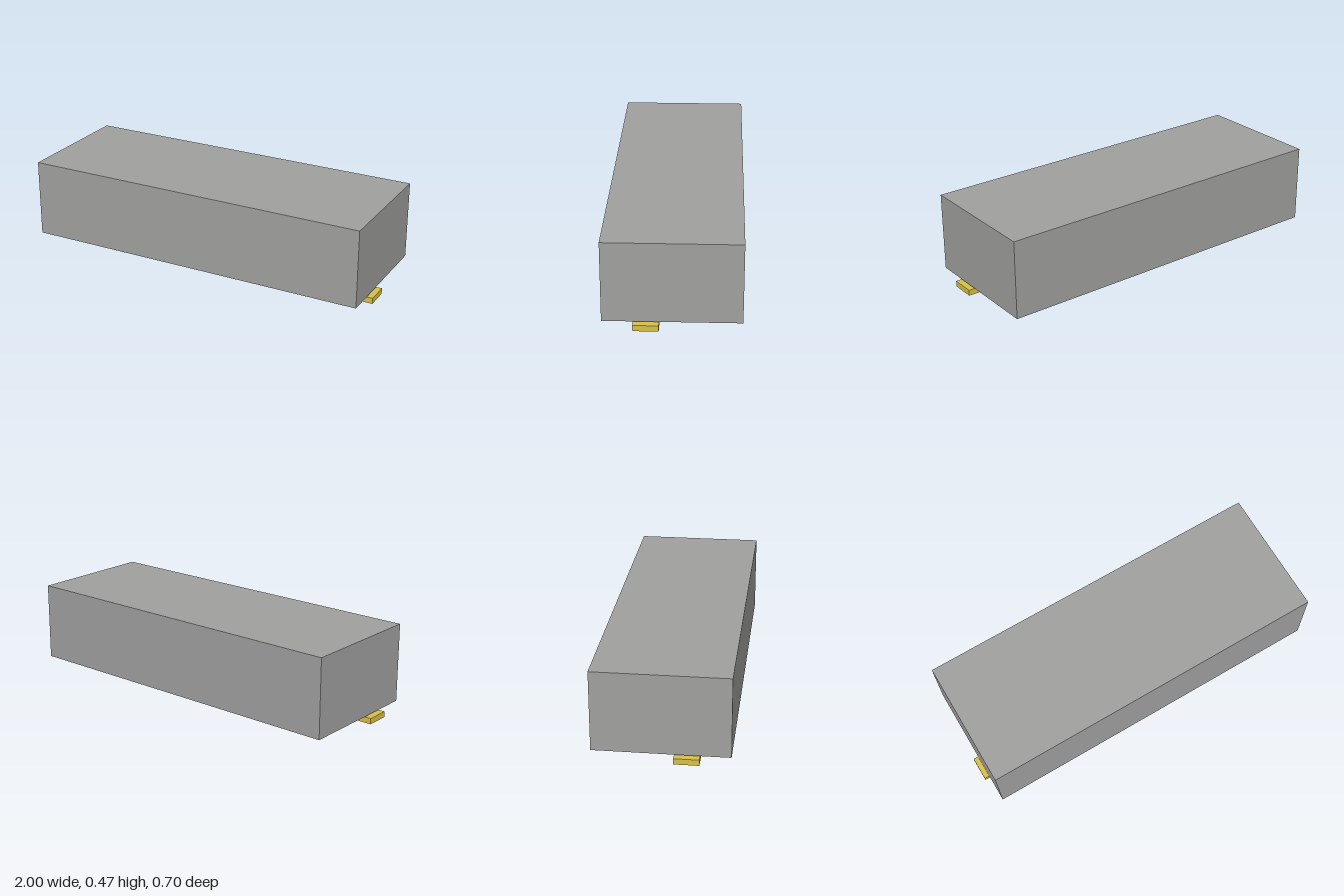
import * as THREE from 'three';

// Box spanning the given [min, max] ranges on each axis
function block(name, [x0, x1], [y0, y1], [z0, z1], color) {
  const mesh = new THREE.Mesh(
    new THREE.BoxGeometry(x1 - x0, y1 - y0, z1 - z0),
    new THREE.MeshStandardMaterial({ color })
  );
  mesh.position.set((x0 + x1) / 2, (y0 + y1) / 2, (z0 + z1) / 2);
  mesh.name = name;
  return mesh;
}

export function createModel() {
  const model = new THREE.Group();
  model.name = 'blockOnStrip';

  // Main body, floating just above the strip
  model.add(block('body', [-0.972, 0.972], [0.039, 0.47], [-0.351, 0.351], 0xa0a19f));

  // Long flat strip under the body, set toward the front
  model.add(block('bottomStrip', [-1, 1], [0, 0.032], [0.065, 0.195], 0xd8c049));

  return model;
}
